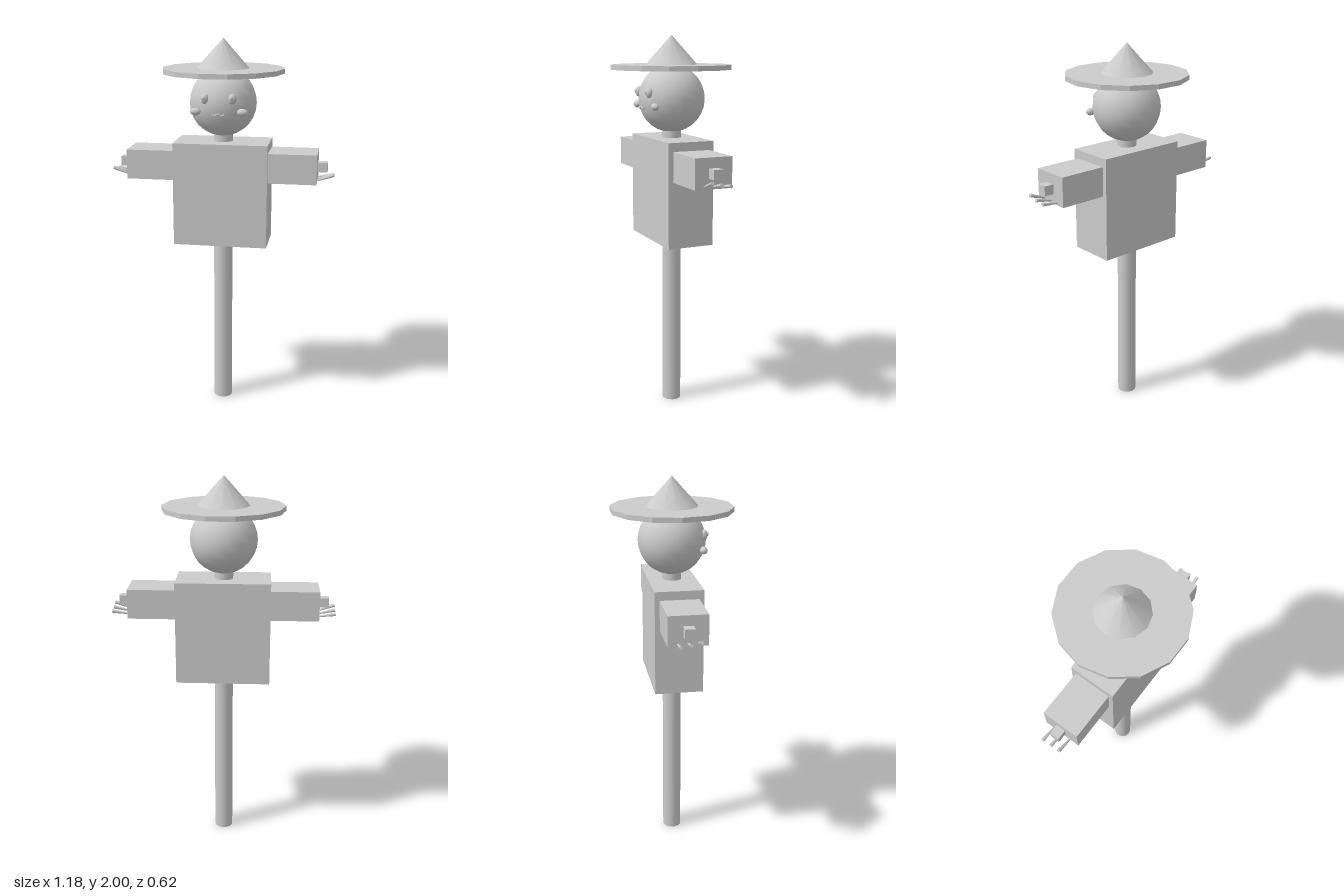
import * as THREE from 'three';

export function createModel() {
  const model = new THREE.Group();
  const grey = new THREE.MeshStandardMaterial({ color: 0xcccccc });
  grey.name = 'light grey';

  const add = (name, geometry, x, y, z) => {
    const mesh = new THREE.Mesh(geometry, grey);
    mesh.name = name;
    mesh.position.set(x, y, z);
    model.add(mesh);
    return mesh;
  };
  const ellipsoid = (name, rx, ry, rz, x, y, z) => {
    add(name, new THREE.SphereGeometry(1, 14, 10), x, y, z).scale.set(rx, ry, rz);
  };

  // Post, running up through the body to the neck
  add('post', new THREE.CylinderGeometry(0.05, 0.05, 1.51, 14), 0, 0.755, 0);

  // Square coat
  add('body', new THREE.BoxGeometry(0.494, 0.545, 0.25), 0, 1.2, 0);

  // Head and straw hat
  add('head', new THREE.SphereGeometry(0.175, 18, 14), 0, 1.675, 0);
  const brim = new THREE.CylinderGeometry(0.317, 0.317, 0.025, 14).toNonIndexed();
  brim.rotateY(Math.PI / 2);
  brim.computeVertexNormals();
  add('hatBrim', brim, 0, 1.837, 0);
  add('hatCrown', new THREE.ConeGeometry(0.137, 0.152, 12), 0, 1.924, 0);

  // Mouth: a small double curve
  const lip = [[-0.033, 1.636], [-0.025, 1.629], [-0.014, 1.629], [0, 1.637],
    [0.014, 1.629], [0.025, 1.629], [0.033, 1.636]];
  const mouthPath = new THREE.CatmullRomCurve3(
    lip.map(([x, y]) => new THREE.Vector3(x, y, 0.17 - x * x * 2.8)));
  add('mouth', new THREE.TubeGeometry(mouthPath, 24, 0.005, 6), 0, 0, 0);

  // Straw fingers: depth, outer end height
  const straws = [[0.05, 1.318], [0, 1.306], [-0.05, 1.298]];

  for (const side of [1, -1]) {
    const label = side > 0 ? 'left' : 'right';

    // Eye, pupil and cheek
    ellipsoid(label + 'Eye', 0.021, 0.027, 0.019, side * 0.07, 1.711, 0.154);
    ellipsoid(label + 'Pupil', 0.01, 0.012, 0.008, side * 0.07 - 0.003, 1.715, 0.169);
    ellipsoid(label + 'Cheek', 0.028, 0.019, 0.019, side * 0.12, 1.643, 0.144);

    // Sleeve and stub of the crossbar
    add(label + 'Sleeve', new THREE.BoxGeometry(0.252, 0.155, 0.2), side * 0.372, 1.35, 0);
    add(label + 'Crossbar', new THREE.BoxGeometry(0.06, 0.05, 0.05), side * 0.52, 1.35, 0);

    // Flared straws poking out of the sleeve
    for (const [z, endY] of straws) {
      const start = new THREE.Vector3(side * 0.49, 1.284, z);
      const end = new THREE.Vector3(side * 0.585, endY, z);
      const dir = end.clone().sub(start);
      const mid = start.add(end).multiplyScalar(0.5);
      const straw = add(label + 'Straw',
        new THREE.CylinderGeometry(0.01, 0.004, dir.length(), 8), mid.x, mid.y, mid.z);
      straw.quaternion.setFromUnitVectors(new THREE.Vector3(0, 1, 0), dir.normalize());
    }
  }
  return model;
}
